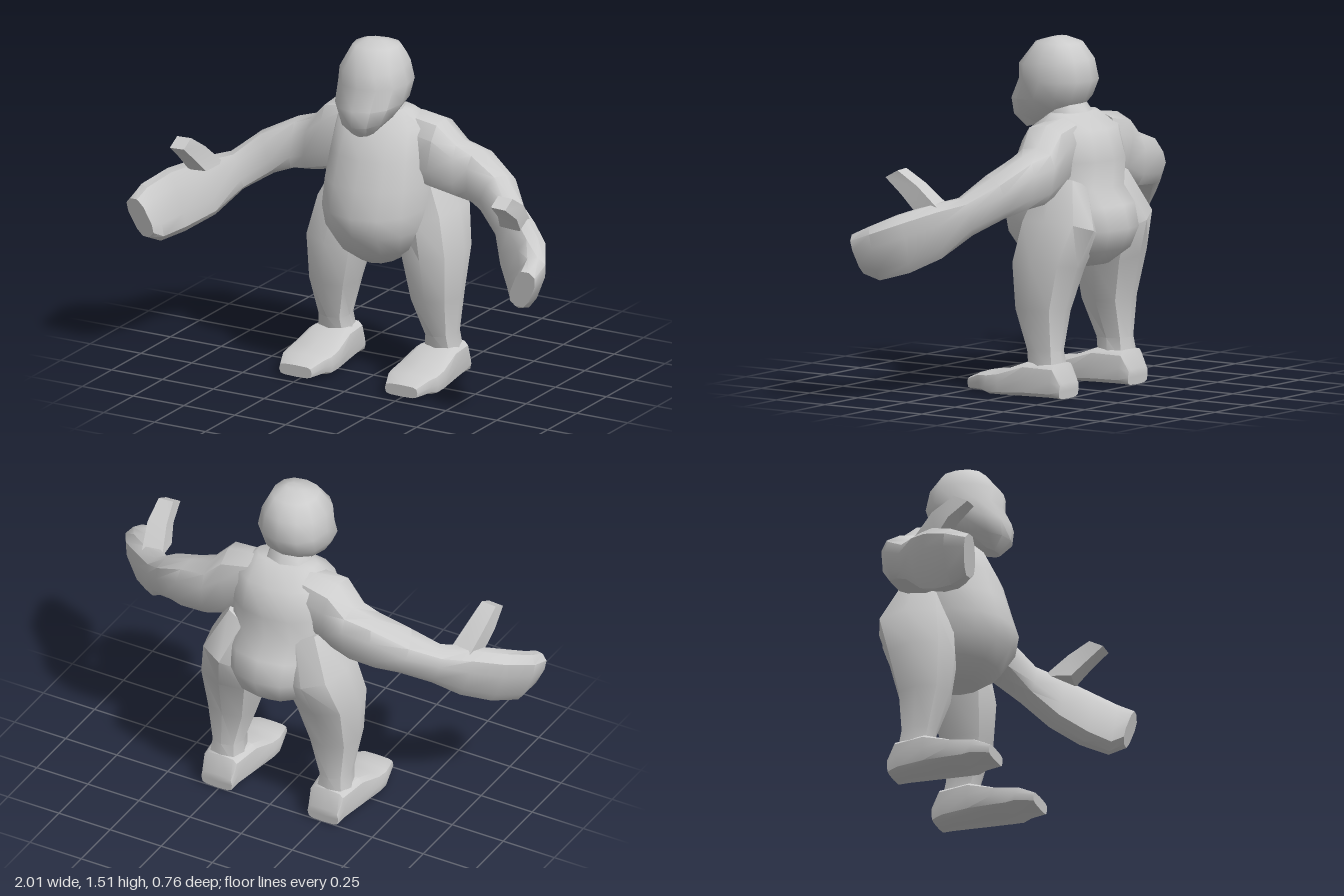
import * as THREE from 'three';
import { toCreasedNormals } from 'three/addons/utils/BufferGeometryUtils.js';

const material = new THREE.MeshStandardMaterial({ color: 0xcccccc });

// Skin a body part over rings [x,y,z of one edge, x,y,z of opposite edge, half width across].
// power 2 gives ellipses, higher powers give boxier rings; side -1 mirrors the part.
function loft(name, rings, { sides = 12, power = 2.3, turn = 0, side = 1, crease = 0.9 } = {}) {
  const ends = rings.map(r => [
    new THREE.Vector3(r[0] * side, r[1], r[2]),
    new THREE.Vector3(r[3] * side, r[4], r[5])]);
  const centres = ends.map(([a, b]) => a.clone().add(b).multiplyScalar(0.5));
  const last = rings.length - 1;
  const shape = t => Math.sign(t) * Math.pow(Math.abs(t), 2 / power);
  const loops = rings.map((r, i) => {
    const u = ends[i][0].clone().sub(centres[i]);
    const along = centres[Math.min(i + 1, last)].clone().sub(centres[Math.max(i - 1, 0)]);
    const v = u.clone().cross(along).normalize().multiplyScalar(r[6]);
    return Array.from({ length: sides }, (_, k) => {
      const a = turn + k / sides * Math.PI * 2;
      return centres[i].clone().addScaledVector(u, shape(Math.cos(a))).addScaledVector(v, shape(Math.sin(a)));
    });
  });
  const tris = [];
  for (let k = 0; k < sides; k++) {
    const n = (k + 1) % sides;
    for (let i = 0; i < last; i++) {
      const [a, b, c, d] = [loops[i][k], loops[i][n], loops[i + 1][n], loops[i + 1][k]];
      tris.push([a, b, c], [a, c, d]);
    }
    tris.push([centres[0], loops[0][n], loops[0][k]], [centres[last], loops[last][k], loops[last][n]]);
  }
  // Turn all faces outward
  const volume = tris.reduce((s, [a, b, c]) => s + a.dot(b.clone().cross(c)), 0);
  const points = tris.flatMap(([a, b, c]) => volume > 0 ? [a, b, c] : [a, c, b]);
  const geometry = toCreasedNormals(new THREE.BufferGeometry().setFromPoints(points), crease);
  const mesh = new THREE.Mesh(geometry, material);
  mesh.name = name;
  return mesh;
}

// Ring with a front point, a back point and a half width, centred on x
const ring = (x, yf, zf, yb, zb, w) => [x, yf, zf, x, yb, zb, w];

export function createModel() {
  const model = new THREE.Group();
  model.name = 'figure';

  // Round belly, back and seat
  model.add(loft('torso', [
    ring(0, 1.195, -0.03, 1.195, -0.17, 0.14),
    ring(0, 1.13, 0.06, 1.13, -0.27, 0.215),
    ring(0, 1.0, 0.125, 1.0, -0.31, 0.23),
    ring(0, 0.88, 0.16, 0.88, -0.3, 0.24),
    ring(0, 0.76, 0.2, 0.81, -0.36, 0.24),
    ring(0, 0.67, 0.185, 0.71, -0.385, 0.23),
    ring(0, 0.58, 0.12, 0.62, -0.35, 0.19),
    ring(0, 0.515, 0.03, 0.55, -0.26, 0.1),
  ], { sides: 14 }));

  // Neck and head with a protruding muzzle
  model.add(loft('neck', [
    ring(0, 1.24, 0.02, 1.25, -0.13, 0.08),
    ring(0, 1.16, 0.02, 1.185, -0.175, 0.11),
  ], { sides: 8 }));
  model.add(loft('head', [
    ring(0, 1.51, 0.0, 1.51, -0.05, 0.045),
    ring(0, 1.49, 0.07, 1.485, -0.125, 0.1),
    ring(0, 1.39, 0.15, 1.42, -0.175, 0.14),
    ring(0, 1.33, 0.145, 1.33, -0.193, 0.153),
    ring(0, 1.24, 0.188, 1.26, -0.165, 0.145),
    ring(0, 1.165, 0.185, 1.215, -0.13, 0.11),
    ring(0, 1.112, 0.13, 1.165, -0.03, 0.06),
  ]));

  for (const side of [1, -1]) {
    const label = side > 0 ? 'left' : 'right';

    // Arm flowing into a flat mitten hand
    model.add(loft(label + 'Arm', [
      [0.13, 1.185, -0.14, 0.16, 0.88, -0.11, 0.1],
      [0.27, 1.165, -0.14, 0.24, 0.86, -0.1, 0.115],
      [0.35, 1.08, -0.15, 0.36, 0.83, -0.12, 0.1],
      [0.45, 1.05, -0.14, 0.46, 0.82, -0.12, 0.095],
      [0.6, 0.975, -0.09, 0.53, 0.8, -0.07, 0.085],
      [0.7, 0.89, 0.0, 0.64, 0.73, 0.0, 0.065],
      [0.8, 0.87, 0.08, 0.72, 0.63, 0.1, 0.065],
      [0.91, 0.83, 0.18, 0.81, 0.57, 0.2, 0.065],
      [0.975, 0.78, 0.29, 0.88, 0.54, 0.29, 0.06],
      [0.98, 0.74, 0.375, 0.9, 0.57, 0.35, 0.048],
    ], { sides: 10, power: 2.8, side, crease: 0.8 }));

    // Upright thumb
    model.add(loft(label + 'Thumb', [
      [0.77, 0.84, 0.17, 0.75, 0.85, 0.05, 0.05],
      [0.79, 0.91, 0.23, 0.78, 0.95, 0.15, 0.045],
      [0.79, 0.975, 0.31, 0.79, 1.01, 0.245, 0.036],
    ], { sides: 4, power: 20, turn: Math.PI / 4, side, crease: 0.6 }));

    // Thick thigh tapering to the ankle
    model.add(loft(label + 'Leg', [
      ring(0.13, 0.9, -0.06, 0.9, -0.26, 0.11),
      ring(0.2, 0.72, 0.0, 0.72, -0.34, 0.135),
      ring(0.235, 0.56, 0.02, 0.56, -0.28, 0.138),
      ring(0.25, 0.37, 0.0, 0.37, -0.225, 0.108),
      ring(0.262, 0.2, -0.055, 0.2, -0.212, 0.066),
      ring(0.262, 0.11, -0.07, 0.11, -0.225, 0.08),
    ], { sides: 8, power: 2.6, side, crease: 0.7 }));

    // Flat foot with raised toes
    model.add(loft(label + 'Foot', [
      ring(0.26, 0.07, -0.255, 0, -0.25, 0.075),
      ring(0.26, 0.15, -0.22, 0, -0.2, 0.085),
      ring(0.26, 0.155, -0.08, 0, -0.08, 0.105),
      ring(0.26, 0.11, 0.04, 0, 0.04, 0.118),
      ring(0.26, 0.098, 0.1, 0, 0.1, 0.118),
      ring(0.26, 0.093, 0.15, 0.012, 0.135, 0.108),
      ring(0.26, 0.065, 0.218, 0.012, 0.215, 0.08),
    ], { sides: 12, power: 4, side, crease: 0.7 }));
  }
  return model;
}
